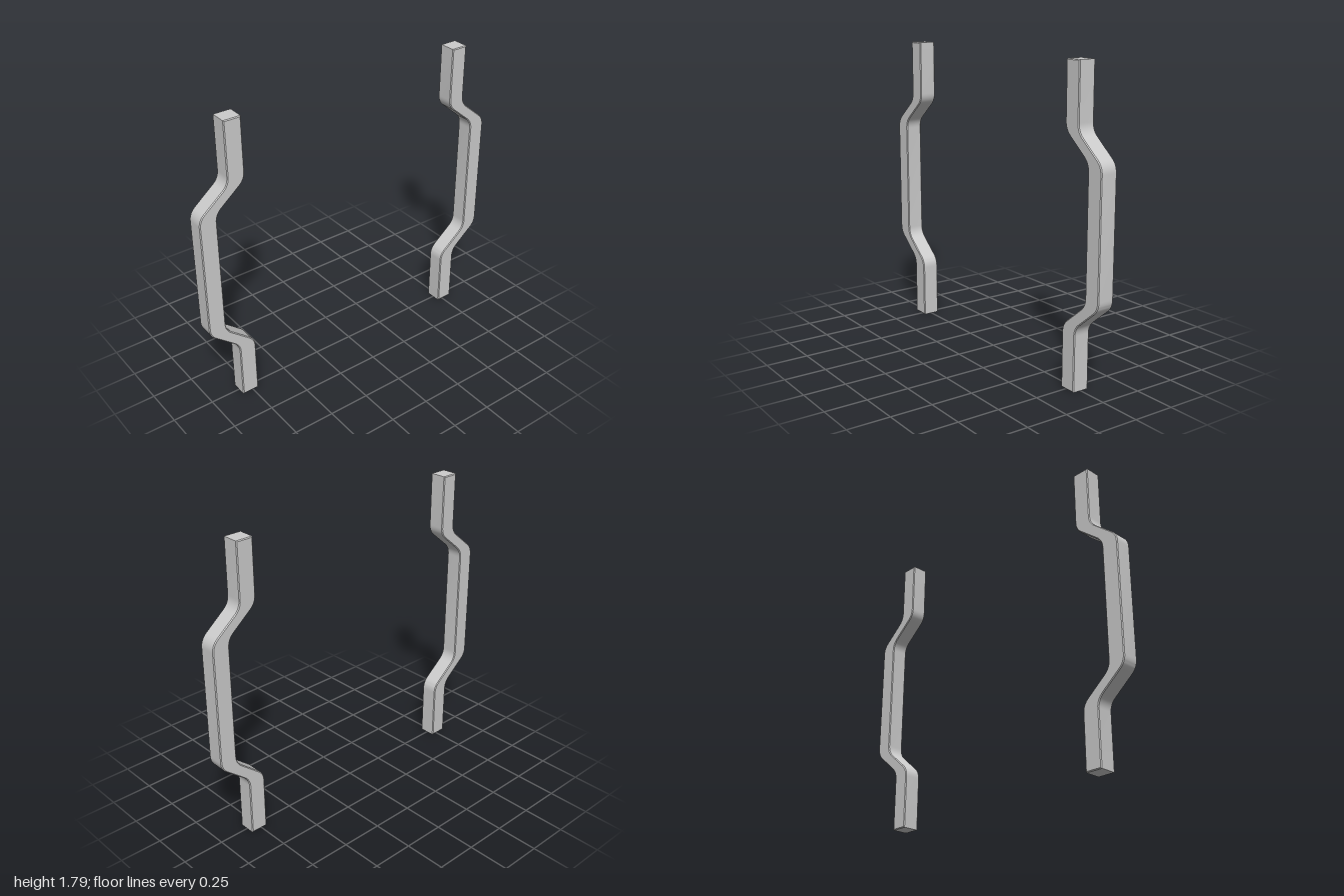
import * as THREE from 'three';
import { toCreasedNormals } from 'three/addons/utils/BufferGeometryUtils.js';

const HEIGHT = 1.788, WIDTH = 0.103, DEPTH = 0.104, BEVEL = 0.005;
const X_END = 0.714, X_GRIP = 0.897; // inner edge at the ends and at the grip
const BEND_R = 0.045;

// Inner edge from bottom to top: straight end, slanted step, grip, step, end
const edge = [
  [X_END, 0], [X_END, 0.365], [X_GRIP, 0.516],
  [X_GRIP, HEIGHT - 0.516], [X_END, HEIGHT - 0.365], [X_END, HEIGHT],
].map(([x, y]) => new THREE.Vector2(x, y));

// Points along the edge with every bend rounded
function roundedEdge() {
  const out = [edge[0]];
  for (let i = 1; i < edge.length - 1; i++) {
    const p = edge[i];
    const toward = (q) => p.clone().add(q.clone().sub(p).setLength(BEND_R));
    const curve = new THREE.QuadraticBezierCurve(toward(edge[i - 1]), p, toward(edge[i + 1]));
    out.push(...curve.getPoints(8));
  }
  out.push(edge[edge.length - 1]);
  return out;
}

// Bar whose outer edge is the inner edge shifted sideways
function makeHandle(side) {
  const inner = roundedEdge();
  const outer = inner.map((p) => new THREE.Vector2(p.x + WIDTH, p.y)).reverse();
  const outline = [...inner, ...outer].map((p) => new THREE.Vector2(p.x * side, p.y));
  const geometry = new THREE.ExtrudeGeometry(new THREE.Shape(outline), {
    depth: DEPTH - 2 * BEVEL,
    bevelEnabled: true,
    bevelThickness: BEVEL,
    bevelSize: BEVEL,
    bevelOffset: -BEVEL,
    bevelSegments: 1,
  });
  geometry.translate(0, 0, -DEPTH / 2 + BEVEL);
  return new THREE.Mesh(
    toCreasedNormals(geometry, Math.PI / 6),
    new THREE.MeshStandardMaterial({ color: 0xcccccc }),
  );
}

export function createModel() {
  const group = new THREE.Group();
  group.name = 'handlePair';
  for (const [name, side] of [['leftHandle', 1], ['rightHandle', -1]]) {
    const handle = makeHandle(side);
    handle.name = name;
    group.add(handle);
  }
  return group;
}
